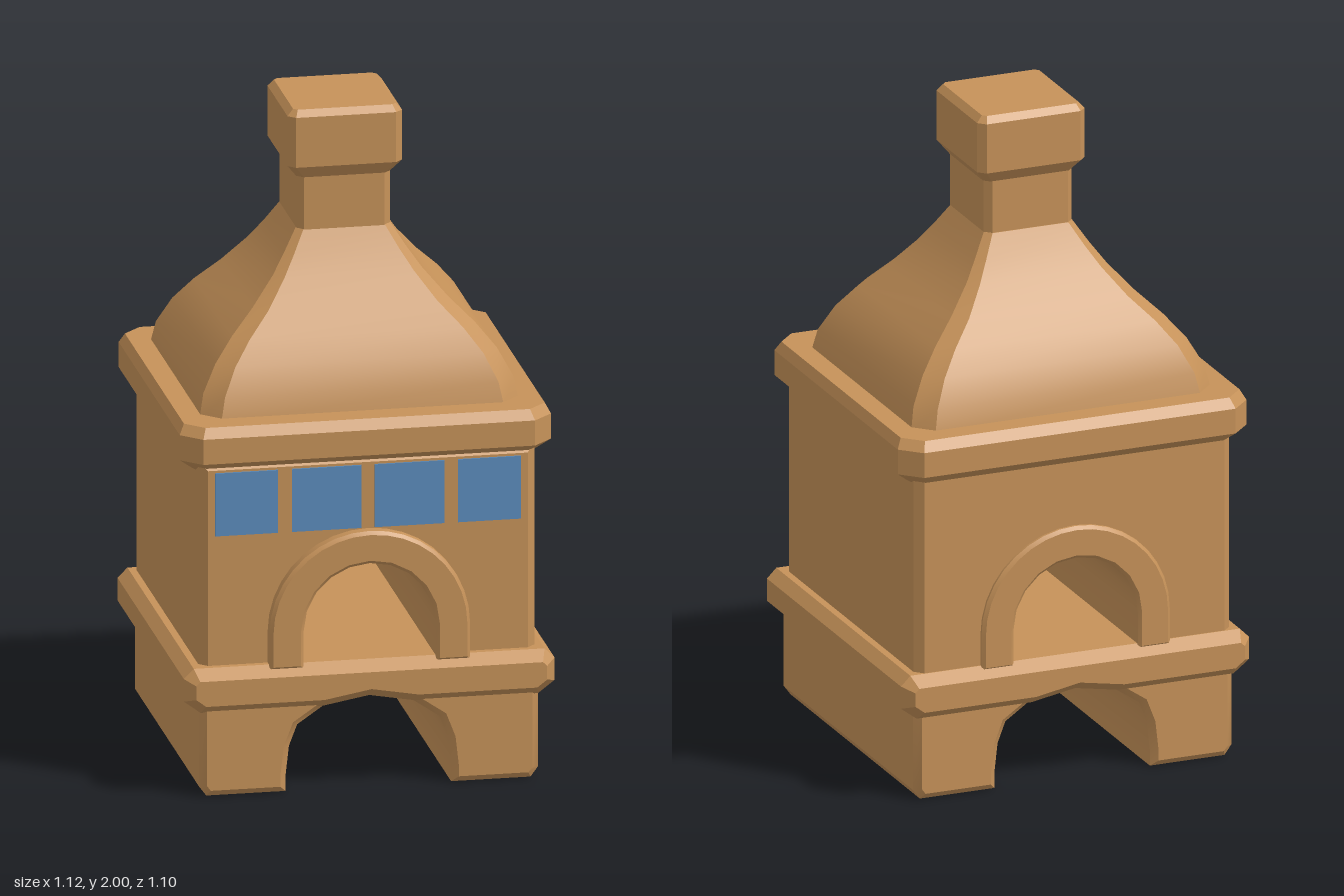
import * as THREE from 'three';
import { toCreasedNormals } from 'three/addons/utils/BufferGeometryUtils.js';

const clay = new THREE.MeshStandardMaterial({ color: 0xc69259 });
clay.name = 'clay';
const blue = new THREE.MeshStandardMaterial({ color: 0x5c8cbc });
blue.name = 'blue tile';

function part(name, geometry, material = clay) {
  const mesh = new THREE.Mesh(toCreasedNormals(geometry, 0.45), material);
  mesh.name = name;
  return mesh;
}

// Mirror the right half of an outline, listed from the centre line round to the centre line
const mirrored = (half) =>
  new THREE.Shape([...half, ...half.filter(([x]) => x > 0).reverse().map(([x, y]) => [-x, y])]
    .map(([x, y]) => new THREE.Vector2(x, y)));

// Front outline pushed from z0 to z1, with chamfered front and back rims
function slab(half, z0, z1, size, thickness = size) {
  const g = new THREE.ExtrudeGeometry(mirrored(half), {
    depth: z1 - z0 - 2 * thickness,
    bevelEnabled: true, bevelSegments: 1,
    bevelSize: size, bevelOffset: -size, bevelThickness: thickness,
  });
  return g.translate(0, 0, z0 + thickness);
}

// Stack of chamfered rectangles: [y, half width, half depth, corner cut]
function loft(rings, zMid) {
  const loops = rings.map(([y, w, d, c]) => [
    [w, d - c], [w, c - d], [w - c, -d], [c - w, -d],
    [-w, c - d], [-w, d - c], [c - w, d], [w - c, d],
  ].map(([x, z]) => [x, y, z + zMid]));
  const pos = [];
  const tri = (...corners) => corners.forEach((p) => pos.push(...p));
  for (let r = 0; r < loops.length - 1; r++) {
    for (let i = 0; i < 8; i++) {
      const j = (i + 1) % 8, lo = loops[r], hi = loops[r + 1];
      tri(lo[i], lo[j], hi[j]);
      tri(lo[i], hi[j], hi[i]);
    }
  }
  const bottom = loops[0], top = loops[loops.length - 1];
  for (let i = 1; i < 7; i++) {
    tri(top[0], top[i], top[i + 1]);
    tri(bottom[0], bottom[i + 1], bottom[i]);
  }
  const g = new THREE.BufferGeometry();
  g.setAttribute('position', new THREE.Float32BufferAttribute(pos, 3));
  return g;
}

// Points of an arch from the right springing up to the crown
function archHalf(radius, springY, steps) {
  const pts = [];
  for (let i = 0; i <= steps; i++) {
    const a = (i / steps) * Math.PI / 2;
    pts.push([i === steps ? 0 : radius * Math.cos(a), springY + radius * Math.sin(a)]);
  }
  return pts;
}

export function createModel() {
  const group = new THREE.Group();
  group.name = 'oven';

  // Base block with the wood store arch running through it
  group.add(part('base', slab([
    [0, 0.285], [0.12, 0.27], [0.215, 0.205], [0.24, 0.14], [0.25, 0.05], [0.25, 0],
    [0.49, 0], [0.512, 0.03], [0.512, 0.35], [0, 0.35],
  ], -0.508, 0.52, 0.02)));

  // Lower ledge, nicked by the crown of the base arch
  group.add(part('lowerLedge', slab([
    [0, 0.287], [0.14, 0.262], [0.51, 0.262], [0.56, 0.3], [0.56, 0.37], [0.53, 0.4], [0, 0.4],
  ], -0.55, 0.553, 0.03, 0.04)));

  // Oven chamber
  group.add(part('chamber', slab([
    ...archHalf(0.25, 0.5, 8).reverse(), [0.25, 0.37], [0.508, 0.37], [0.508, 1.03], [0, 1.03],
  ], -0.507, 0.493, 0.025)));

  // Mouth lining, standing proud as an arched surround at both ends
  group.add(part('archSurround', slab([
    ...archHalf(0.2, 0.5, 5).reverse(), [0.2, 0.385], [0.303, 0.385],
    ...archHalf(0.303, 0.497, 9),
  ], -0.525, 0.533, 0.01)));

  // Row of blue tiles across the front
  for (const [x, width] of [[0.125, 0.21], [0.367, 0.19]]) {
    for (const side of [-1, 1]) {
      const tile = part('frontTile', new THREE.BoxGeometry(width, 0.195, 0.008), blue);
      tile.position.set(side * x, 0.9, 0.494);
      group.add(tile);
    }
  }

  // Upper ledge
  group.add(part('upperLedge', loft([
    [0.99, 0.505, 0.475, 0.03], [1.0, 0.52, 0.49, 0.04], [1.032, 0.561, 0.531, 0.06],
    [1.11, 0.561, 0.531, 0.06], [1.14, 0.545, 0.51, 0.055],
  ], -0.017)));

  // Curved hood sweeping up into the chimney neck
  group.add(part('hood', loft([
    [1.13, 0.482, 0.436, 0.055], [1.2, 0.468, 0.42, 0.055], [1.28, 0.425, 0.383, 0.05],
    [1.35, 0.367, 0.338, 0.045], [1.42, 0.295, 0.285, 0.04], [1.5, 0.225, 0.226, 0.03],
    [1.56, 0.183, 0.186, 0.025], [1.625, 0.142, 0.148, 0.02],
  ], -0.022)));
  group.add(part('chimneyNeck', loft([
    [1.6, 0.142, 0.148, 0.02], [1.8, 0.142, 0.148, 0.02],
  ], -0.02)));
  group.add(part('chimneyCap', loft([
    [1.785, 0.142, 0.148, 0.02], [1.825, 0.173, 0.177, 0.022],
    [1.98, 0.173, 0.177, 0.022], [2.0, 0.155, 0.16, 0.012],
  ], -0.018)));

  return group;
}
